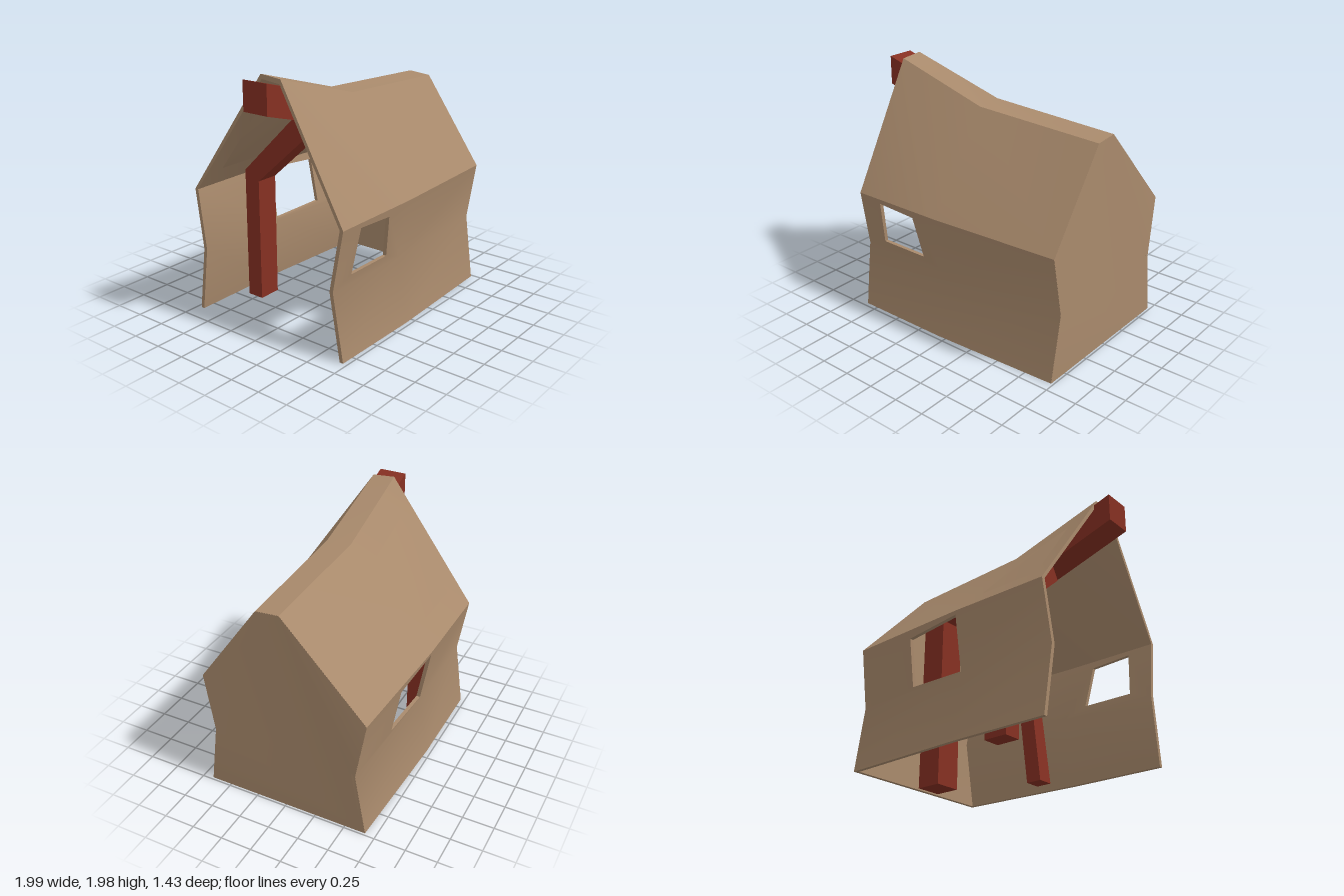
import * as THREE from 'three';
import { mergeGeometries, toCreasedNormals } from 'three/addons/utils/BufferGeometryUtils.js';

const T = 0.03;                        // wall thickness
const X0 = -0.86, XM = -0.07, X1 = 0.98; // open end, roof kink, gable end
const WAIST = 0.53, EAVE = 1;

const plaster = new THREE.MeshStandardMaterial({ color: 0xa98a6c, side: THREE.DoubleSide });
const timber = new THREE.MeshStandardMaterial({ color: 0x863022 });

// How far a point is along the pinch at waist height (1 at the waist, 0 at ground and eave)
const pinch = (y) => (y < WAIST ? y / WAIST : (EAVE - y) / (EAVE - WAIST));

// Half depth of the house at a point on its long walls
function halfDepth(x, y) {
  const taper = 0.047 * THREE.MathUtils.clamp((x - XM) / (X1 - XM), 0, 1);
  return 0.715 - taper - 0.08 * pinch(y);
}

// Solid through a row of rings; each ring runs counter-clockwise about the path
function loft(rings) {
  const pos = [];
  const quad = (a, b, c, d) => pos.push(...a, ...b, ...c, ...a, ...c, ...d);
  const n = rings[0].length;
  for (let k = 0; k < rings.length - 1; k++) {
    for (let i = 0; i < n; i++) {
      const j = (i + 1) % n;
      quad(rings[k][i], rings[k][j], rings[k + 1][j], rings[k + 1][i]);
    }
  }
  const first = rings[0], last = rings[rings.length - 1];
  for (let i = 0; i < n / 2 - 1; i++) {
    quad(last[i], last[i + 1], last[n - 2 - i], last[n - 1 - i]);
    quad(first[n - 1 - i], first[n - 2 - i], first[i + 1], first[i]);
  }
  const geo = new THREE.BufferGeometry();
  geo.setAttribute('position', new THREE.Float32BufferAttribute(pos, 3));
  return geo;
}

// Long wall with a crooked window; side is +1 for front, -1 for back
function wallGeometry(side, windowCorners, windowColumn) {
  const panels = [];
  const cols = [[X0, XM], [XM, X1]], rows = [[0, WAIST], [WAIST, EAVE]];
  const endX = (x, y) => x + (x === X0 ? -0.013 : x === X1 ? 0.012 : 0) * pinch(y);
  const v = (x, y) => new THREE.Vector2(side * x, y);
  cols.forEach(([xa, xb], c) => rows.forEach(([ya, yb], r) => {
    const shape = new THREE.Shape([
      v(endX(xa, ya), ya), v(endX(xb, ya), ya), v(endX(xb, yb), yb), v(endX(xa, yb), yb)]);
    if (r === 1 && c === windowColumn) {
      shape.holes.push(new THREE.Path(windowCorners.map(([x, y]) => v(x, y))));
    }
    const geo = new THREE.ExtrudeGeometry(shape, { depth: T, bevelEnabled: false });
    const p = geo.attributes.position;
    for (let i = 0; i < p.count; i++) {
      const x = side * p.getX(i), y = p.getY(i);
      p.setXYZ(i, x, y, side * (halfDepth(x, y) - T + p.getZ(i)));
    }
    panels.push(geo);
  }));
  return mergeGeometries(panels);
}

// Sagging roof: stations of [x, ridge height, ridge back z, ridge front z]
const ridge = [
  [X0, 1.98, -0.003, 0.177],
  [XM, 1.75, -0.017, 0.185],
  [X1, 1.705, -0.008, 0.177],
];
function roofGeometry() {
  return loft(ridge.map(([x, top, zb, zf]) => {
    const e = halfDepth(x, EAVE), front = top - 0.015;
    return [
      [x, EAVE, -e], [x, top, zb], [x, front, zf], [x, EAVE, e],
      [x, EAVE, e - T], [x, front - 0.035, zf - 0.01],
      [x, top - 0.035, zb + 0.01], [x, EAVE, -e + T],
    ];
  }));
}

// Closed gable end, bulging slightly at the waist
function gableGeometry() {
  const d = (y) => halfDepth(X1, y) - 0.002;
  const [, top, zb, zf] = ridge[2];
  const outline = [
    [d(0), 0], [d(WAIST), WAIST], [d(EAVE), EAVE], [zf, top - 0.017],
    [zb, top - 0.002], [-d(EAVE), EAVE], [-d(WAIST), WAIST], [-d(0), 0],
  ];
  const shape = new THREE.Shape(outline.map(([z, y]) => new THREE.Vector2(-z, y)));
  const geo = new THREE.ExtrudeGeometry(shape, { depth: T, bevelEnabled: false });
  geo.rotateY(Math.PI / 2);
  const p = geo.attributes.position;
  for (let i = 0; i < p.count; i++) {
    const bulge = 0.012 * Math.max(0, pinch(p.getY(i)));
    p.setX(i, p.getX(i) + X1 - T + 0.001 + bulge);
  }
  return geo;
}

// Upright rectangular ring for posts
const postRing = (xa, xb, zFront, zBack, yFront, yBack = yFront) => [
  [xa, yFront, zFront], [xb, yFront, zFront], [xb, yBack, zBack], [xa, yBack, zBack]];

export function createModel() {
  const house = new THREE.Group();
  house.name = 'house';
  const add = (name, geo, material) => {
    const mesh = new THREE.Mesh(toCreasedNormals(geo, 0.5), material);
    mesh.name = name;
    house.add(mesh);
  };

  // Plaster shell
  add('frontWall', wallGeometry(1,
    [[-0.68, 0.605], [-0.26, 0.605], [-0.31, 0.94], [-0.65, 0.96]], 0), plaster);
  add('backWall', wallGeometry(-1,
    [[-0.06, 0.545], [0.44, 0.56], [0.43, 0.935], [-0.06, 0.97]], 1), plaster);
  add('gableWall', gableGeometry(), plaster);
  add('roof', roofGeometry(), plaster);

  // Ridge beam following the sag and sticking out of the open end
  add('ridgeBeam', loft([[-1, 1.96], [XM, 1.69], [0.91, 1.645]].map(([x, y]) => [
    [x, y, -0.04], [x, y, 0.18], [x, y - 0.225, 0.18], [x, y - 0.225, -0.04]])), timber);

  // Post carrying the ridge beam near the gable
  add('gablePost', loft([0, 1.44].map((y) => postRing(0.71, 0.92, 0.18, -0.04, y))), timber);

  // Back post bending into a rafter under the roof
  add('backFrame', loft([
    postRing(-0.44, -0.25, -0.45, -0.59, 0),
    postRing(-0.44, -0.25, -0.45, -0.59, 1.0, 1.07),
    postRing(-0.44, -0.25, 0.04, -0.05, 1.44, 1.6),
  ]), timber);

  // Leaning front prop
  add('frontProp', loft([
    postRing(0.03, 0.16, 0.52, 0.39, 0),
    postRing(0.18, 0.31, 0.52, 0.39, 1.18, 1.3),
  ]), timber);

  return house;
}
